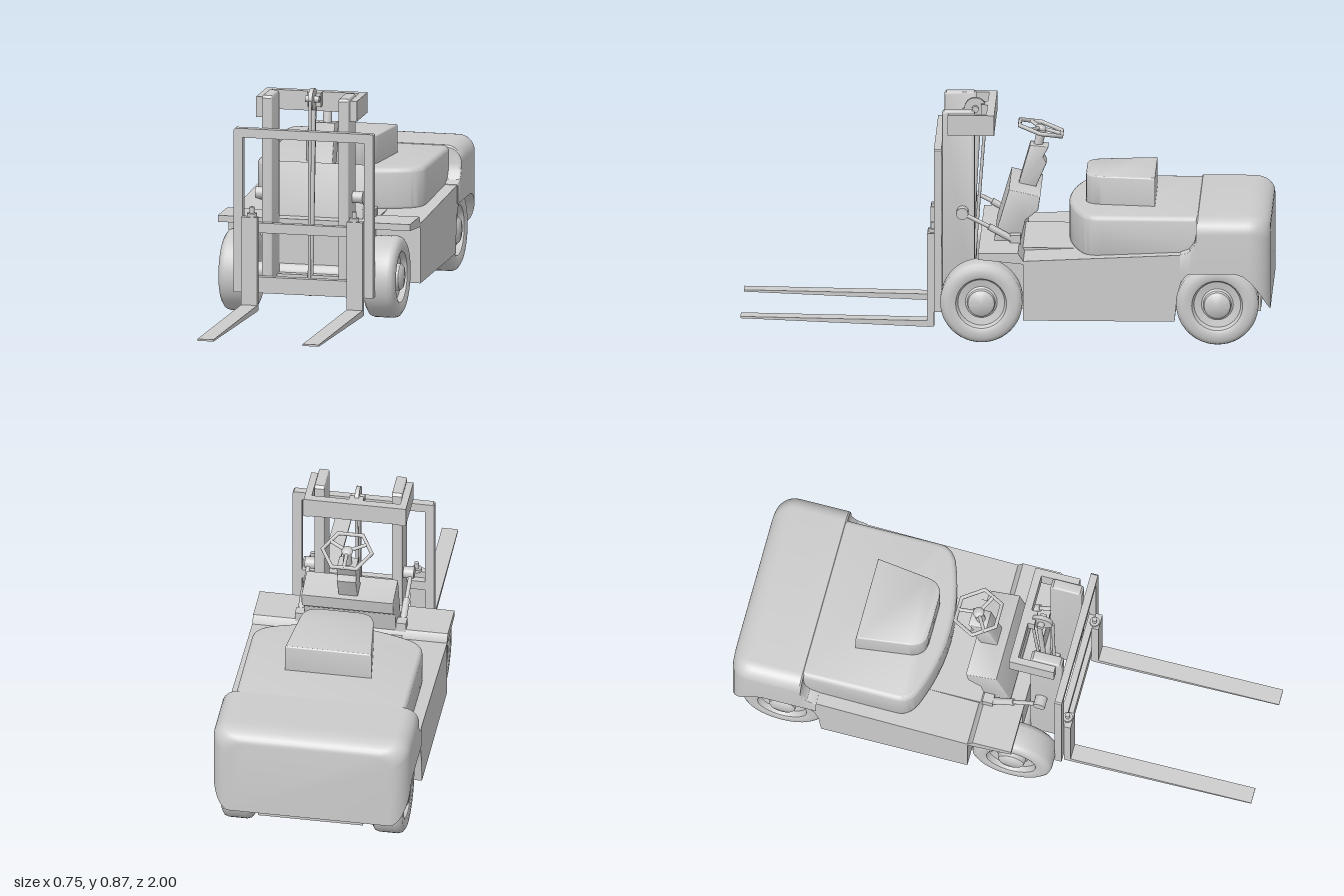
import * as THREE from 'three';
import { toCreasedNormals } from 'three/addons/utils/BufferGeometryUtils.js';

const grey = new THREE.MeshStandardMaterial({ color: 0xcccccc });

export function createModel() {
  const model = new THREE.Group();
  const add = (name, geo, parent = model) => {
    const mesh = new THREE.Mesh(geo, grey);
    mesh.name = name;
    parent.add(mesh);
    return mesh;
  };
  const group = (name) => {
    const g = new THREE.Group();
    g.name = name;
    model.add(g);
    return g;
  };
  const box = (name, x0, x1, y0, y1, z0, z1, parent) => add(name,
    new THREE.BoxGeometry(x1 - x0, y1 - y0, z1 - z0).translate((x0 + x1) / 2, (y0 + y1) / 2, (z0 + z1) / 2), parent);
  const shapeOf = (pts) => new THREE.Shape(pts.map(([a, b]) => new THREE.Vector2(a, b)));
  const extrude = (shape, depth, bevel) => toCreasedNormals(new THREE.ExtrudeGeometry(shape, {
    depth: depth - 2 * bevel, bevelEnabled: bevel > 0, bevelSize: bevel, bevelThickness: bevel,
    bevelOffset: -bevel, bevelSegments: 4, curveSegments: 12,
  }).translate(0, 0, bevel), 0.6);
  // side profile of [z, y] points, spread across the width
  const across = (name, pts, x0, x1, bevel = 0, parent) => add(name,
    extrude(shapeOf(pts), x1 - x0, bevel).rotateY(-Math.PI / 2).translate(x1, 0, 0), parent);
  // plan shape (x, -z) raised from y0 to y1
  const raised = (name, shape, y0, y1, bevel) => add(name,
    extrude(shape, y1 - y0, bevel).rotateX(-Math.PI / 2).translate(0, y0, 0));
  const rod = (name, a, b, r, parent) => {
    const p = new THREE.Vector3(...a), q = new THREE.Vector3(...b);
    const m = add(name, new THREE.CylinderGeometry(r, r, p.distanceTo(q), 16), parent);
    m.position.copy(p).lerp(q, 0.5);
    m.quaternion.setFromUnitVectors(new THREE.Vector3(0, 1, 0), q.sub(p).normalize());
    return m;
  };

  // chassis
  across('chassis', [[-0.07, 0.1], [-0.07, 0.33], [-0.74, 0.362], [-0.74, 0.285], [-0.69, 0.285],
    [-0.665, 0.255], [-0.65, 0.2], [-0.64, 0.1]], -0.372, 0.372);
  box('innerChassis', -0.2, 0.2, 0.101, 0.34, -0.96, 0.1);
  across('frontFender', [[0.1, 0.36], [-0.05, 0.36], [-0.07, 0.33], [-0.07, 0.318], [0.1, 0.335]], -0.372, 0.372);

  // engine hood with a bowed front
  const hood = new THREE.Shape();
  hood.moveTo(-0.325, 0.75);
  hood.lineTo(-0.325, 0.36);
  hood.quadraticCurveTo(-0.325, 0.31, -0.27, 0.285);
  hood.quadraticCurveTo(0, 0.18, 0.27, 0.285);
  hood.quadraticCurveTo(0.325, 0.31, 0.325, 0.36);
  hood.lineTo(0.325, 0.75);
  raised('hood', hood, 0.33, 0.495, 0.02);

  // seat block
  const seat = new THREE.Shape();
  seat.moveTo(-0.165, 0.56);
  seat.lineTo(-0.14, 0.36);
  seat.quadraticCurveTo(-0.132, 0.3, -0.075, 0.298);
  seat.lineTo(0.075, 0.298);
  seat.quadraticCurveTo(0.132, 0.3, 0.14, 0.36);
  seat.lineTo(0.165, 0.56);
  raised('seat', seat, 0.48, 0.604, 0.006);

  // counterweight: rounded cross-sections lofted towards the rear, arched over the wheels
  add('counterweight', counterweight());

  // wheels
  const tyre = [[0.03, -0.055], [0.085, -0.055], [0.095, -0.06], [0.135, -0.06], [0.15, -0.05], [0.155, -0.035],
    [0.155, 0.035], [0.15, 0.05], [0.135, 0.06], [0.105, 0.06], [0.096, 0.056], [0.088, 0.035], [0.06, 0.03],
    [0.053, 0.035], [0.05, 0.055], [0.042, 0.062], [0, 0.064]].map(([r, h]) => new THREE.Vector2(r, h));
  for (const s of [1, -1]) {
    for (const [name, x, z] of [['frontWheel', 0.28, 0.09], ['rearWheel', 0.287, -0.8]]) {
      const wheel = add(name, toCreasedNormals(new THREE.LatheGeometry(tyre, 48), 0.7));
      wheel.rotation.z = -s * Math.PI / 2;
      wheel.position.set(s * x, 0.155, z);
    }
  }
  rod('frontAxle', [-0.27, 0.155, 0.09], [0.27, 0.155, 0.09], 0.035);
  rod('rearAxle', [-0.27, 0.155, -0.8], [0.27, 0.155, -0.8], 0.035);

  // dashboard, steering column and wheel
  across('dashboard', [[0.045, 0.34], [0.045, 0.37], [-0.01, 0.558], [-0.128, 0.532], [-0.12, 0.478],
    [-0.072, 0.44], [-0.05, 0.34]], -0.175, 0.175, 0.004);
  across('steeringColumn', [[-0.04, 0.54], [-0.085, 0.697], [-0.155, 0.69], [-0.135, 0.65], [-0.148, 0.628],
    [-0.105, 0.53]], -0.037, 0.037, 0.004);
  rod('steeringShaft', [0, 0.69, -0.115], [0, 0.75, -0.128], 0.017);
  const steering = group('steeringWheel');
  add('steeringRim', new THREE.TorusGeometry(0.094, 0.008, 10, 6), steering);
  add('steeringHub', new THREE.SphereGeometry(0.022, 16, 10).scale(1, 1, 0.6), steering);
  for (const a of [Math.PI / 2, Math.PI * 7 / 6, Math.PI * 11 / 6]) {
    rod('steeringSpoke', [0, 0, 0], [0.085 * Math.cos(a), 0.085 * Math.sin(a), 0], 0.007, steering);
  }
  steering.rotation.x = -Math.PI / 2 - 0.26;
  steering.position.set(0, 0.755, -0.125);

  // mast
  const mast = group('mast');
  const upright = [[0.12, 0.1], [0.243, 0.1], [0.243, 0.85], [0.235, 0.86], [0.13, 0.86], [0.12, 0.85]];
  for (const s of [1, -1]) {
    across('mastUpright', upright, s * 0.148 - 0.02, s * 0.148 + 0.02, 0.006, mast);
    box('mastSidePlate', s * 0.182 - 0.013, s * 0.182 + 0.013, 0.772, 0.85, 0.045, 0.22, mast);
  }
  box('mastTopBeam', -0.195, 0.195, 0.775, 0.85, 0.045, 0.075, mast);
  box('mastLowerBeam', -0.13, 0.13, 0.11, 0.16, 0.13, 0.16, mast);

  // lift pulley, ram and chains
  const lift = group('liftGear');
  box('pulleyBracket', -0.027, 0.027, 0.795, 0.85, 0.07, 0.1, lift);
  rod('pulley', [-0.008, 0.83, 0.122], [0.008, 0.83, 0.122], 0.042, lift);
  rod('pulleyPin', [-0.027, 0.83, 0.122], [0.027, 0.83, 0.122], 0.013, lift);
  rod('frontChain', [0, 0.83, 0.164], [0, 0.1, 0.175], 0.006, lift);
  rod('rearChain', [0, 0.83, 0.081], [0, 0.12, 0.135], 0.006, lift);
  rod('liftRam', [0, 0.79, 0.11], [0, 0.1, 0.15], 0.01, lift);
  add('lowerRing', new THREE.TorusGeometry(0.025, 0.007, 8, 24).rotateY(Math.PI / 2).translate(0, 0.11, 0.155), lift);

  // tilt rams either side of the mast
  for (const s of [1, -1]) {
    const tilt = group('tiltRam');
    rod('tiltCylinder', [s * 0.195, 0.365, -0.035], [s * 0.195, 0.42, 0.065], 0.013, tilt);
    rod('tiltRod', [s * 0.195, 0.42, 0.065], [s * 0.195, 0.47, 0.165], 0.008, tilt);
    rod('tiltPivot', [s * 0.165, 0.47, 0.165], [s * 0.208, 0.47, 0.165], 0.023, tilt);
    box('tiltFoot', s * 0.192 - 0.02, s * 0.192 + 0.02, 0.352, 0.39, -0.055, -0.015, tilt);
  }

  // carriage frame
  const carriage = group('carriage');
  const frame = shapeOf([[-0.27, 0.105], [0.27, 0.105], [0.27, 0.73], [0.265, 0.735], [-0.265, 0.735], [-0.27, 0.73]]);
  frame.holes.push(new THREE.Path([[-0.235, 0.167], [-0.235, 0.7], [0.235, 0.7], [0.235, 0.167]]
    .map(([x, y]) => new THREE.Vector2(x, y))));
  add('carriageFrame', extrude(frame, 0.028, 0).translate(0, 0, 0.242), carriage);
  box('carriageMiddleBar', -0.235, 0.235, 0.336, 0.374, 0.243, 0.268, carriage);

  // forks
  const fork = [[0.27, 0.04], [0.29, 0.038], [1, 0.066], [1, 0.073], [0.296, 0.062], [0.296, 0.4], [0.27, 0.4]];
  for (const s of [1, -1]) {
    across('fork', fork, s * 0.204 - 0.031, s * 0.204 + 0.031);
    rod('forkPin', [s * 0.198, 0.4, 0.275], [s * 0.198, 0.413, 0.275], 0.019);
    rod('forkPinHead', [s * 0.198, 0.41, 0.275], [s * 0.198, 0.437, 0.275], 0.009);
  }
  return model;
}

function counterweight() {
  // [z, top, side bottom, corner radius, rear rounding 0..1]
  const sections = [[-0.66, 0.36, 0.285, 0.004, 0], [-0.695, 0.372, 0.285, 0.004, 0], [-0.714, 0.4, 0.285, 0.01, 0],
    [-0.72, 0.43, 0.285, 0.03, 0], [-0.721, 0.49, 0.285, 0.06, 0], [-0.727, 0.497, 0.285, 0.06, 0]];
  const arch = [[-0.727, 0.285], [-0.87, 0.285], [-0.9, 0.275], [-0.93, 0.25], [-0.96, 0.21], [-1, 0.14]];
  const bottomAt = (z) => {
    const i = Math.max(1, arch.findIndex((p) => p[0] <= z + 1e-6));
    const [a, b] = [arch[i - 1], arch[i]];
    return a[1] + (b[1] - a[1]) * (z - a[0]) / (b[0] - a[0]);
  };
  for (const z of [-0.8, -0.87, -0.9, -0.92]) sections.push([z, 0.497, bottomAt(z), 0.06, 0]);
  for (let i = 1; i <= 8; i++) {
    const t = Math.sin(i * Math.PI / 16), z = -0.92 - 0.08 * t;
    sections.push([z, 0.497, bottomAt(z), 0.06, 1 - Math.sqrt(1 - t * t)]);
  }
  const rings = sections.map(([z, top, bottom, r, k]) => {
    const w = 0.375 - 0.07 * k, h = top - 0.045 * k, half = [[w, bottom]];
    for (let i = 0; i <= 8; i++) {
      const a = i * Math.PI / 16;
      half.push([w - r + r * Math.cos(a), h - r + r * Math.sin(a)]);
    }
    const mirrored = half.map(([x, y]) => [-x, y]).reverse();
    return [...half, ...mirrored].map(([x, y]) => [x, y, z]);
  });
  const n = rings[0].length, pos = [];
  const tri = (...corners) => corners.forEach((c) => pos.push(...c));
  for (let j = 0; j < rings.length - 1; j++) {
    for (let i = 0; i < n; i++) {
      const a = rings[j][i], b = rings[j][(i + 1) % n], c = rings[j + 1][(i + 1) % n], d = rings[j + 1][i];
      tri(a, d, c);
      tri(a, c, b);
    }
  }
  const first = rings[0], last = rings[rings.length - 1];
  for (let i = 1; i < n - 1; i++) {
    tri(first[0], first[i], first[i + 1]);
    tri(last[0], last[i + 1], last[i]);
  }
  const geo = new THREE.BufferGeometry();
  geo.setAttribute('position', new THREE.Float32BufferAttribute(pos, 3));
  return toCreasedNormals(geo, 0.6);
}
